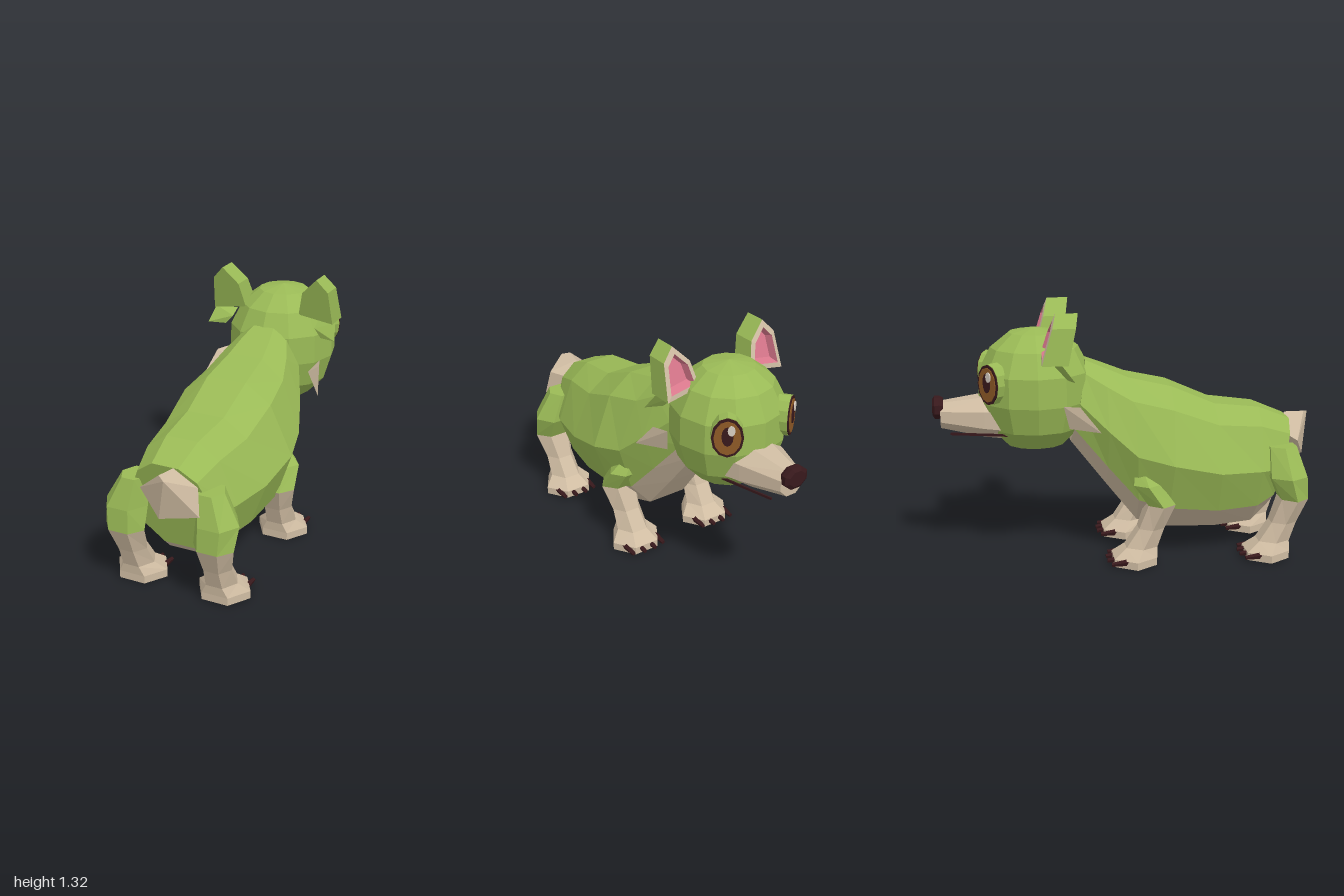
import * as THREE from 'three';
import { ConvexGeometry } from 'three/addons/geometries/ConvexGeometry.js';

const mat = (name, color) => Object.assign(new THREE.MeshStandardMaterial({ color }), { name });

export function createModel() {
  const green = mat('green fur', 0x9aba56);
  const cream = mat('cream fur', 0xcfbca2);
  const pink = mat('pink skin', 0xd9788c);
  const dark = mat('dark brown', 0x38191c);
  const iris = mat('amber brown', 0x8f5a26);
  const shine = mat('eye shine', 0xd9cfc4);
  const model = new THREE.Group();

  const add = (name, geometry, material, parent = model) => {
    const mesh = new THREE.Mesh(geometry, material);
    mesh.name = name;
    parent.add(mesh);
    return mesh;
  };
  const facet = (g) => {
    const f = g.index ? g.toNonIndexed() : g;
    f.computeVertexNormals();
    return f;
  };
  const hull = (points, s = 1) =>
    new ConvexGeometry(points.map(([x, y, z]) => new THREE.Vector3(x * s, y, z)));

  // Closed faceted skin over rings; pick(strip, side) gives the material index
  function loft(rings, pick = () => 0) {
    const n = rings[0].length, last = rings.length - 1, tris = [];
    const centre = (r) => [0, 1, 2].map((k) => r.reduce((t, p) => t + p[k], 0) / n);
    const c0 = centre(rings[0]), c1 = centre(rings[last]);
    for (let j = 0; j < n; j++) {
      const k = (j + 1) % n;
      tris.push([pick(-1, j), c0, rings[0][k], rings[0][j]]);
      tris.push([pick(last, j), c1, rings[last][j], rings[last][k]]);
      for (let i = 0; i < last; i++) {
        const a = rings[i][j], b = rings[i][k], c = rings[i + 1][k], d = rings[i + 1][j];
        tris.push([pick(i, j), a, b, c], [pick(i, j), a, c, d]);
      }
    }
    const V = (p) => new THREE.Vector3(...p), o = V(c0);
    const volume = tris.reduce((t, [, a, b, c]) =>
      t + V(a).sub(o).dot(V(b).sub(o).cross(V(c).sub(o))), 0);
    tris.sort((a, b) => a[0] - b[0]);
    const g = new THREE.BufferGeometry(), pos = [];
    tris.forEach(([m, a, b, c], i) => {
      pos.push(...a, ...(volume > 0 ? b : c), ...(volume > 0 ? c : b));
      g.addGroup(i * 3, 3, m);
    });
    // merge neighbouring groups of the same material
    g.groups = g.groups.reduce((out, e) => {
      const p = out[out.length - 1];
      if (p && p.materialIndex === e.materialIndex) p.count += e.count; else out.push(e);
      return out;
    }, []);
    g.setAttribute('position', new THREE.Float32BufferAttribute(pos, 3));
    return facet(g);
  }

  // Body: slanted rings [zTop, yTop, zBottom, yBottom, halfWidth], cream belly and chest
  const half = [[0.3, 1], [0.68, 0.87], [1, 0.52], [0.75, 0.19], [0.35, 0]];
  const section = [...half, ...half.map(([u, v]) => [-u, v]).reverse()];
  const bodyRings = [
    [0.86, 0.70, 0.74, 0.22, 0.235], [0.69, 0.77, 0.66, 0.15, 0.285],
    [0.45, 0.80, 0.45, 0.135, 0.33], [0.22, 0.90, 0.18, 0.15, 0.355],
    [0, 0.95, 0.04, 0.19, 0.315], [-0.12, 1.0, -0.12, 0.39, 0.26],
    [-0.22, 1.04, -0.30, 0.62, 0.19],
  ].map(([zt, yt, zb, yb, w]) =>
    section.map(([u, v]) => [u * w, yb + (yt - yb) * v, zb + (zt - zb) * v]));
  add('body', loft(bodyRings, (i, j) => (i >= 0 && j >= 3 && j <= 5 ? 1 : 0)), [green, cream]);

  // Head
  const headProfile = [[0, 0.605], [0.155, 0.605], [0.245, 0.70], [0.288, 0.84], [0.285, 0.99],
    [0.225, 1.11], [0.13, 1.185], [0, 1.21]].map(([r, y]) => new THREE.Vector2(r, y));
  add('head', facet(new THREE.LatheGeometry(headProfile, 12)), green).position.z = -0.475;

  // Snout and nose
  const oval = (n, x, y, z, rx, ry) => Array.from({ length: n }, (_, i) => {
    const a = ((i + 0.5) / n) * Math.PI * 2;
    return [x + (rx * Math.cos(a)) / Math.cos(Math.PI / n),
      y + (ry * Math.sin(a)) / Math.cos(Math.PI / n), z];
  });
  add('snout', loft([oval(8, 0, 0.755, -0.58, 0.175, 0.118), oval(8, 0, 0.758, -0.74, 0.135, 0.103),
    oval(8, 0, 0.767, -0.96, 0.066, 0.066)]), cream);
  add('nose', loft([oval(8, 0, 0.805, -0.945, 0.055, 0.045), oval(8, 0, 0.805, -0.965, 0.066, 0.055),
    oval(8, 0, 0.805, -0.988, 0.066, 0.055), oval(8, 0, 0.805, -1, 0.045, 0.038)]), dark);

  // Tail stub, a lopsided pointed tuft
  add('tail', hull([[-0.115, 0.585, 0.9], [0.03, 0.71, 0.97], [0.07, 0.70, 1], [0.2, 0.655, 0.91],
    [0.22, 0.52, 0.94], [0, 0.465, 0.91], [0.02, 0.48, 0.965], [0.05, 0.705, 0.87],
    [0.11, 0.62, 0.835], [-0.05, 0.62, 0.835]]), cream);

  // Legs: rings [y, x, halfWidth, z, halfDepth], from hip or shoulder to sole
  const lower = [[0.32, 0.24, 0.107, 0.845, 0.07], [0.19, 0.233, 0.08, 0.795, 0.065],
    [0.09, 0.23, 0.088, 0.745, 0.08], [0.04, 0.23, 0.14, 0.71, 0.11], [0, 0.23, 0.14, 0.71, 0.11]];
  const hindTop = [[0.59, 0.205, 0.07, 0.79, 0.07], [0.44, 0.245, 0.115, 0.81, 0.095]];
  const foreTop = [[0.49, 0.22, 0.06, 0.755, 0.045], [0.43, 0.24, 0.1, 0.77, 0.07]];
  const legRing = (s, dz) => ([y, x, w, z, d]) => Array.from({ length: 6 }, (_, i) => {
    const a = (i * Math.PI) / 3;
    return [s * (x + w * Math.cos(a)), y, z + dz + (d * Math.sin(a)) / Math.sin(Math.PI / 3)];
  });

  // Ear outline as seen from behind
  const earShape = [[0.27, 1.316], [0.33, 1.25], [0.345, 1.07], [0.155, 1.10], [0.185, 1.23]];
  const earRing = (s, k, z, lean) => earShape.map(([px, py]) => {
    const x = 0.257 + (px - 0.257) * k, y = 1.18 + (py - 1.18) * k;
    return [s * x, y, z - (1.32 - y) * lean];
  });

  for (const s of [1, -1]) {
    const side = s > 0 ? 'Left' : 'Right';
    for (const [kind, top, dz] of [['hind', hindTop, 0], ['front', foreTop, -0.70]]) {
      const leg = new THREE.Group();
      leg.name = `${kind}Leg${side}`;
      model.add(leg);
      const rings = [...top, ...lower].map(legRing(s, dz));
      add('leg', loft(rings, (i) => (i < 2 ? 0 : 1)), [green, cream], leg);
      for (const o of [-0.095, -0.032, 0.032, 0.095]) {
        const claw = add('claw', facet(new THREE.CylinderGeometry(0.011, 0.018, 0.085, 5)), dark, leg);
        claw.rotation.x = -Math.PI / 2 - 0.1;
        claw.position.set(s * (0.23 + o), 0.027, 0.6 + dz + Math.abs(o) * 0.25);
      }
    }

    // Ear with cream rim and sunken pink inside
    add(`ear${side}`, loft([earRing(s, 1, -0.275, 0.22), earRing(s, 1, -0.385, 0.3),
      earRing(s, 0.74, -0.39, 0.3), earRing(s, 0.6, -0.345, 0.3)],
    (i) => [0, 0, 1, 2, 2][i + 1]), [green, cream, pink]);

    // Small tuft under the ear and the cream cheek tuft
    add(`earTuft${side}`, hull([[0.35, 1.07, -0.36], [0.24, 1.06, -0.40], [0.24, 1.03, -0.34],
      [0.37, 0.99, -0.30], [0.28, 0.985, -0.33]], s), green);
    add(`cheekTuft${side}`, hull([[0.30, 0.85, -0.27], [0.27, 0.85, -0.35], [0.25, 0.73, -0.32],
      [0.23, 0.80, -0.29], [0.338, 0.725, -0.17]], s), cream);

    // Mouth line
    const mouth = add(`mouthLine${side}`, new THREE.BoxGeometry(0.008, 0.012, 0.3), dark);
    mouth.position.set(s * 0.113, 0.681, -0.765);
    mouth.rotation.y = s * 0.25;

    // Eye: green socket with stacked thin discs
    const eye = new THREE.Group();
    eye.name = `eye${side}`;
    eye.position.set(s * 0.183, 0.955, -0.705);
    eye.rotation.y = s * Math.atan2(0.6, -0.8);
    model.add(eye);
    const disc = (name, m, rx, ry, x, y, z, depth) => {
      const g = new THREE.CylinderGeometry(1, 1, depth, 12).rotateX(Math.PI / 2).scale(rx, ry, 1);
      add(name, facet(g), m, eye).position.set(x, y, z - depth / 2);
    };
    disc('socket', green, 0.08, 0.105, 0, 0, 0.014, 0.06);
    disc('eyeRim', dark, 0.077, 0.102, 0, 0, 0.02, 0.008);
    disc('iris', iris, 0.065, 0.088, 0, 0, 0.024, 0.006);
    disc('pupil', dark, 0.028, 0.05, 0, 0.01, 0.028, 0.006);
    disc('highlight', shine, 0.018, 0.026, 0.018, 0.042, 0.032, 0.006);
  }
  return model;
}
